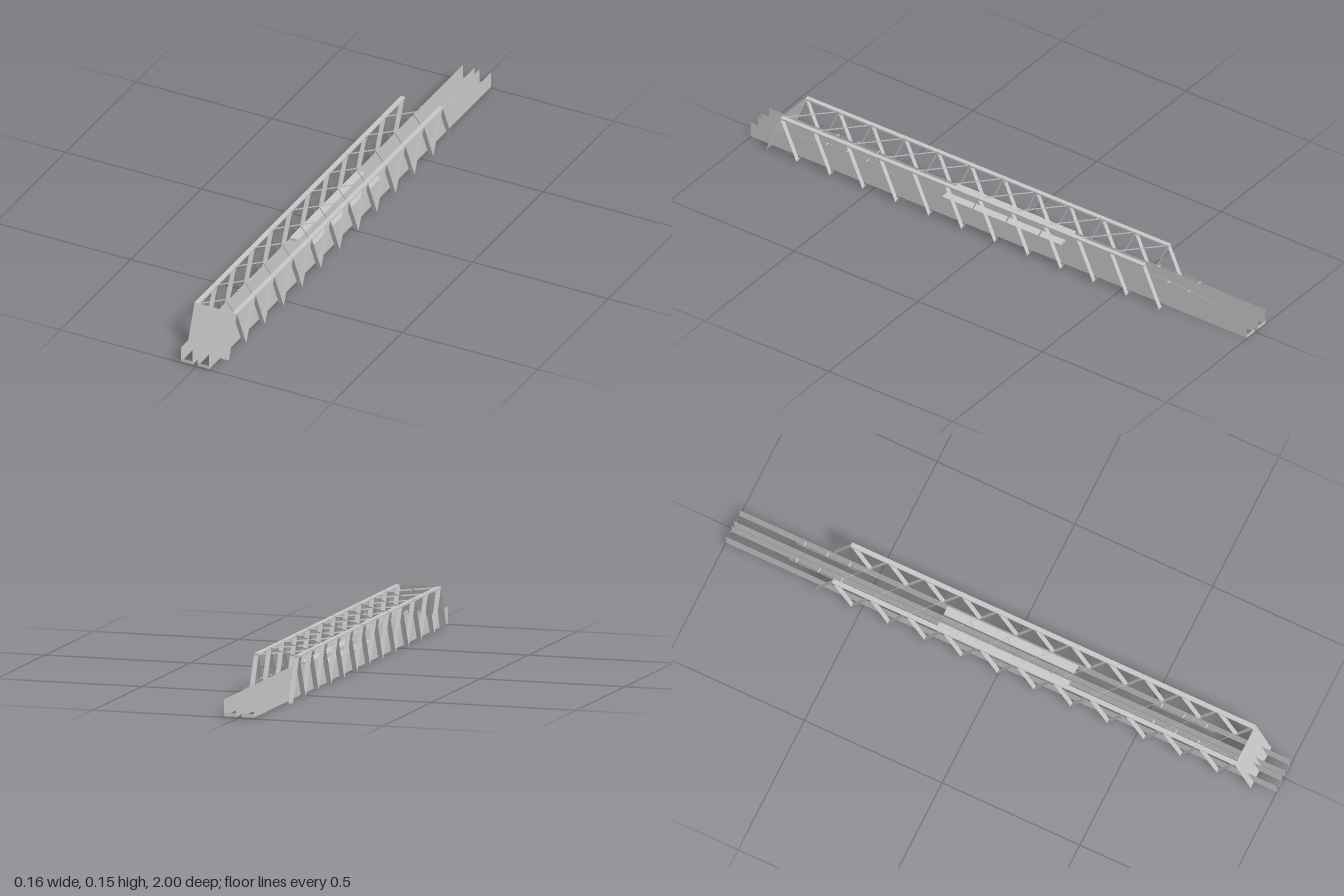
import * as THREE from 'three';

const steel = new THREE.MeshStandardMaterial({ color: 0xc8c8c8, side: THREE.DoubleSide });
steel.name = 'grey steel';

// Flat four-cornered sheet, corners counter-clockwise from its front
function sheet(name, corners) {
  const g = new THREE.BufferGeometry();
  g.setAttribute('position', new THREE.Float32BufferAttribute(corners.flat(), 3));
  g.setIndex([0, 1, 2, 0, 2, 3]);
  g.computeVertexNormals();
  const m = new THREE.Mesh(g, steel);
  m.name = name;
  return m;
}

function box(name, x0, x1, y0, y1, z0, z1) {
  const m = new THREE.Mesh(new THREE.BoxGeometry(x1 - x0, y1 - y0, z1 - z0), steel);
  m.position.set((x0 + x1) / 2, (y0 + y1) / 2, (z0 + z1) / 2);
  m.name = name;
  return m;
}

export function createModel() {
  const root = new THREE.Group();
  root.name = 'trussBridge';

  const FRONT = 0.86, BACK = -0.6, BAYS = 11, PITCH = (FRONT - BACK) / BAYS;
  const OUT = 0.078, IN = 0.062, TOP = 0.1485;

  // Long channels: thin walls open below, with low end lips
  const y0 = 0.004, lip = 0.016, wallTop = 0.0595;
  [[-0.055, -0.013], [0.006, 0.048]].forEach(([a, b]) => {
    const channel = new THREE.Group();
    channel.name = 'channel';
    for (const x of [a, b]) {
      channel.add(sheet('channelWall', [[x, y0, 1], [x, y0, -1], [x, wallTop, -1], [x, wallTop, 1]]));
    }
    for (const z of [1, -1]) {
      channel.add(sheet('endLip', [[a, y0, z], [b, y0, z], [b, lip, z], [a, lip, z]]));
    }

    // Raised cover at mid length
    channel.add(box('centreCover', a + 0.003, a + 0.034, 0.058, 0.0665, -0.24, 0.235));

    // Upright fins and fine bowed wires near each end
    const cx = (a + b) / 2 - 0.001;
    for (const cz of [0.625, -0.67]) {
      channel.add(sheet('fin', [[cx, 0.054, cz + 0.11], [cx, 0.054, cz - 0.11],
        [cx, 0.0655, cz - 0.11], [cx, 0.0655, cz + 0.11]]));
      const bow = new THREE.QuadraticBezierCurve3(
        new THREE.Vector3(cx + 0.003, 0.069, cz + 0.185),
        new THREE.Vector3(cx - 0.008, 0.094, cz),
        new THREE.Vector3(cx + 0.003, 0.069, cz - 0.185));
      const wire = new THREE.Mesh(new THREE.TubeGeometry(bow, 16, 0.0008, 4), steel);
      wire.name = 'bowedWire';
      channel.add(wire);
      // Small ticks across the wire
      for (const t of [0.28, 0.5, 0.72]) {
        const p = bow.getPoint(t);
        channel.add(box('wireTick', p.x - 0.004, p.x + 0.01, p.y - 0.0008, p.y + 0.0008, p.z - 0.002, p.z + 0.002));
      }
    }
    root.add(channel);
  });

  // Side trusses: top chord with node plates and a zigzag of flat strips
  for (const s of [-1, 1]) {
    const truss = new THREE.Group();
    truss.name = s > 0 ? 'leftTruss' : 'rightTruss';
    const xa = Math.min(s * OUT, s * IN), xb = Math.max(s * OUT, s * IN);
    truss.add(box('topChord', xa, xb, TOP - 0.006, TOP, BACK, FRONT));
    const strip = (zTop, zFoot) => truss.add(sheet('diagonal',
      [[xa, 0, zFoot], [xb, 0, zFoot], [xb, TOP - 0.001, zTop], [xa, TOP - 0.001, zTop]]));
    for (let i = 0; i <= BAYS; i++) {
      const z = BACK + i * PITCH;
      strip(z, z - PITCH / 2);
      if (i < BAYS) {
        strip(z, z + PITCH / 2);
        truss.add(box('nodePlate', xa, xb, TOP - 0.007, TOP + 0.001, z - 0.004, z + 0.004));
      }
    }
    root.add(truss);
  }

  // Crossed ribbons between the two top chords
  const bracing = new THREE.Group();
  bracing.name = 'topBracing';
  for (let i = 0; i < BAYS; i++) {
    const za = BACK + i * PITCH, zb = za + PITCH;
    for (const s of [-1, 1]) {
      const x = s * 0.07;
      bracing.add(sheet('crossBrace', [[-x, TOP - 0.006, za], [x, TOP - 0.006, zb],
        [x, TOP - 0.001, zb], [-x, TOP - 0.001, za]]));
    }
  }
  root.add(bracing);

  // Sloping front plate
  root.add(sheet('frontPlate', [[-OUT, 0, 0.917], [OUT, 0, 0.917], [OUT, TOP, FRONT], [-OUT, TOP, FRONT]]));
  return root;
}
